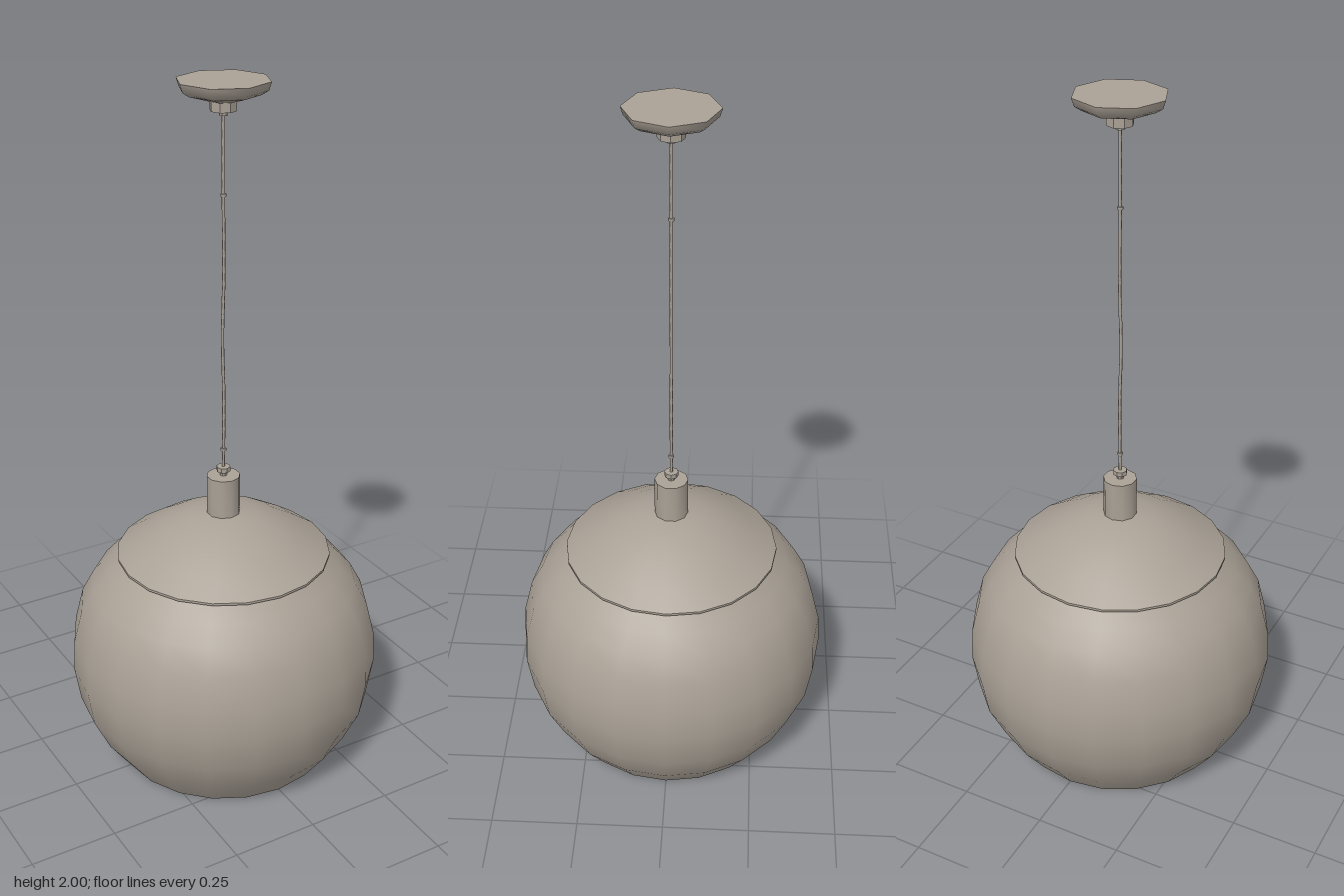
import * as THREE from 'three';
import { toCreasedNormals } from 'three/addons/utils/BufferGeometryUtils.js';

export function createModel() {
  const lamp = new THREE.Group();
  lamp.name = 'pendantLamp';
  const metal = new THREE.MeshStandardMaterial({ color: 0xaaa196 });
  metal.name = 'warm grey';
  metal.side = THREE.DoubleSide;

  const add = (name, geometry) => {
    const mesh = new THREE.Mesh(geometry, metal);
    mesh.name = name;
    lamp.add(mesh);
    return mesh;
  };
  // Turned part from [radius, height] pairs, bottom to top
  const turned = (name, profile, sides, crease = 0.7) => {
    const points = profile.map(([r, y]) => new THREE.Vector2(r, y));
    return add(name, toCreasedNormals(new THREE.LatheGeometry(points, sides), crease));
  };

  // Globe shade, open at the bottom, with a thin inner wall
  const outer = [[0.32, 0], [0.385, 0.09], [0.432, 0.19], [0.45, 0.3], [0.445, 0.39],
    [0.42, 0.49], [0.385, 0.555], [0.34, 0.605], [0.295, 0.645]];
  const inner = outer.map(([r, y]) => [r - 0.01, y]).reverse();
  turned('globeShade', [...inner.slice(0, -1), [0.31, 0], ...outer], 20);

  // Domed lid with an overhanging rim
  turned('lid', [[0, 0.645], [0.308, 0.645], [0.308, 0.652], [0.24, 0.697],
    [0.17, 0.738], [0.1, 0.765], [0.04, 0.775], [0, 0.777]], 20);

  // Lamp holder neck and cord grip
  turned('neck', [[0, 0.765], [0.048, 0.765], [0.048, 0.89], [0, 0.89]], 10);
  turned('cordGrip', [[0, 0.89], [0.01, 0.89], [0.01, 0.903], [0.02, 0.903],
    [0.02, 0.917], [0, 0.917]], 8);

  // Slightly wavy cord with two small knots
  const path = new THREE.CatmullRomCurve3([[0, 0.9], [0.001, 1.15], [-0.003, 1.3],
    [0.001, 1.47], [0, 1.7], [0, 1.93]].map(([x, y]) => new THREE.Vector3(x, y, 0)));
  add('cord', new THREE.TubeGeometry(path, 24, 0.0045, 6));
  for (const y of [0.97, 1.702]) {
    add('cordKnot', new THREE.CylinderGeometry(0.008, 0.008, 0.008, 6)).position.y = y;
  }

  // Ceiling canopy and its ferrule
  turned('ferrule', [[0, 1.91], [0.012, 1.91], [0.012, 1.922], [0.036, 1.922],
    [0.036, 1.955], [0, 1.955]], 8);
  turned('canopy', [[0, 1.946], [0.04, 1.948], [0.1, 1.966], [0.118, 1.978],
    [0.125, 2], [0, 2]], 8, 0.9);

  return lamp;
}
